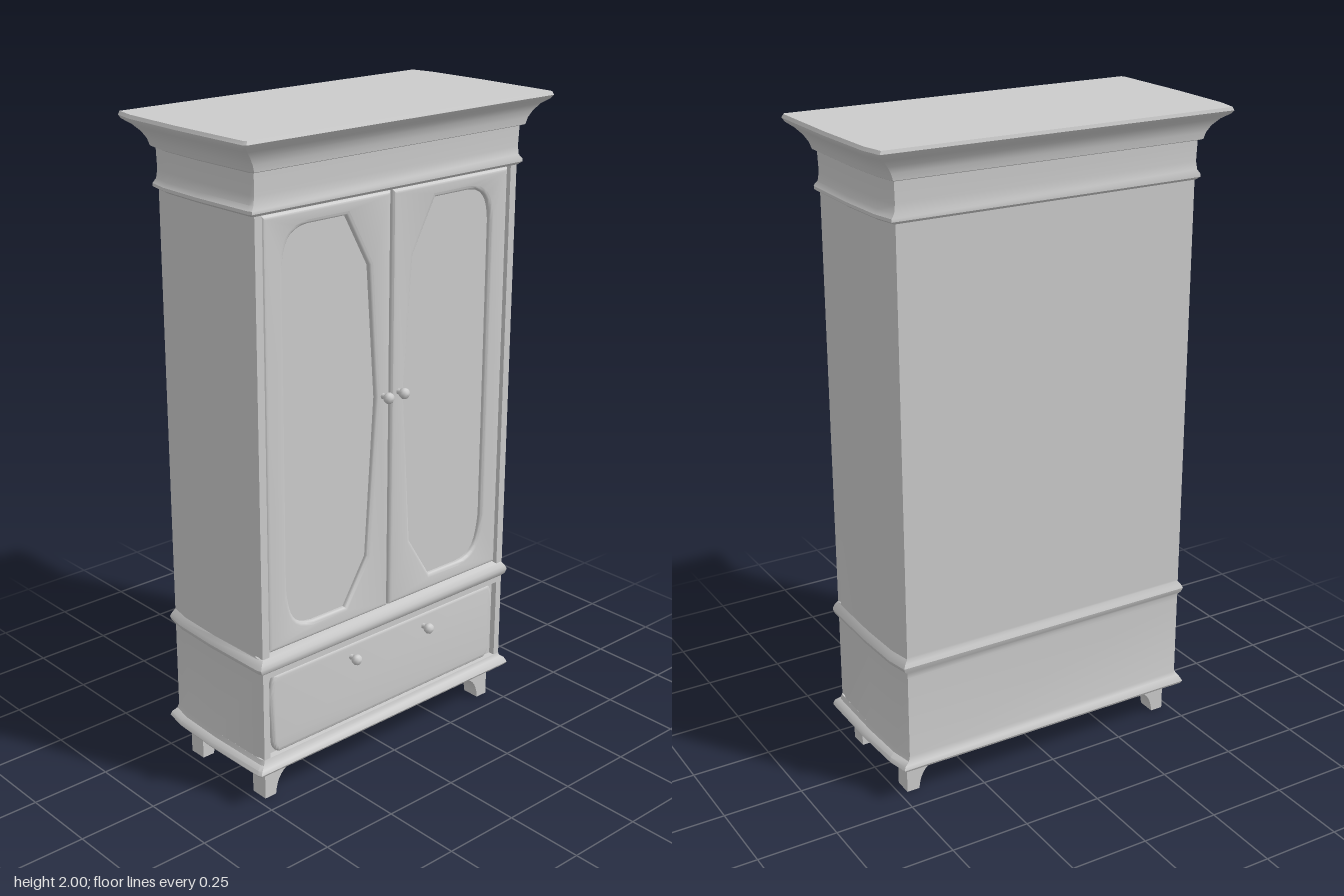
import * as THREE from 'three';
import { toCreasedNormals } from 'three/addons/utils/BufferGeometryUtils.js';

const material = new THREE.MeshStandardMaterial({ color: 0xcccccc });

function add(parent, name, geometry, x = 0, y = 0, z = 0) {
  const mesh = new THREE.Mesh(geometry, material);
  mesh.name = name;
  mesh.position.set(x, y, z);
  parent.add(mesh);
  return mesh;
}

// Stack of horizontal sections: [y, half width, front z, back z]
function loft(levels) {
  const pos = [], index = [];
  for (const [y, w, f, b] of levels) {
    const half = [[w - 0.006, f], [w - 0.001, f - 0.012], [w + 0.002, 0], [w - 0.004, b + 0.07], [w - 0.018, b]];
    const ring = [...half, ...half.map(([x, z]) => [-x, z]).reverse()];
    for (const [x, z] of ring) pos.push(x, y, z);
  }
  const n = 10, last = (levels.length - 1) * n;
  for (let j = 0; j < last; j += n) {
    for (let i = 0; i < n; i++) {
      const a = j + i, b = j + (i + 1) % n;
      index.push(a, b, b + n, a, b + n, a + n);
    }
  }
  // bottom and top caps
  for (let i = 1; i < n - 1; i++) index.push(0, i + 1, i, last, last + i, last + i + 1);
  const g = new THREE.BufferGeometry();
  g.setAttribute('position', new THREE.Float32BufferAttribute(pos, 3));
  g.setIndex(index);
  return toCreasedNormals(g, 0.6);
}

const outline = (pts) => new THREE.Shape(pts.map(([x, y]) => new THREE.Vector2(x, y)));

// Front panel with softly rounded edges
function softPanel(shape) {
  return toCreasedNormals(new THREE.ExtrudeGeometry(shape, {
    depth: 0.006, bevelThickness: 0.009, bevelSize: 0.012, bevelOffset: -0.012, bevelSegments: 3, curveSegments: 6,
  }), 0.6);
}

export function createModel() {
  const wardrobe = new THREE.Group();
  wardrobe.name = 'wardrobe';

  // Carcass with recessed openings, base, waist and cornice mouldings
  add(wardrobe, 'carcass', loft([
    [0.11, 0.524, 0.232, -0.226], [0.118, 0.53, 0.237, -0.23], [0.13, 0.525, 0.233, -0.227],
    [0.14, 0.51, 0.223, -0.22], [0.155, 0.505, 0.22, -0.217],
    [0.155, 0.505, 0.2, -0.217], [0.42, 0.505, 0.2, -0.217],
    [0.42, 0.505, 0.22, -0.217], [0.438, 0.505, 0.22, -0.217],
    [0.446, 0.515, 0.227, -0.222], [0.46, 0.52, 0.23, -0.226], [0.472, 0.515, 0.227, -0.222],
    [0.485, 0.505, 0.22, -0.217],
    [0.49, 0.505, 0.2, -0.217], [1.785, 0.505, 0.2, -0.217],
    [1.785, 0.508, 0.222, -0.217], [1.793, 0.52, 0.229, -0.225], [1.802, 0.52, 0.229, -0.225],
    [1.815, 0.51, 0.223, -0.221], [1.84, 0.506, 0.222, -0.219], [1.9, 0.508, 0.224, -0.22],
    [1.905, 0.517, 0.238, -0.234], [1.925, 0.524, 0.241, -0.237], [1.945, 0.537, 0.248, -0.244],
    [1.965, 0.556, 0.261, -0.26], [1.98, 0.576, 0.281, -0.281], [1.99, 0.581, 0.289, -0.289],
    [2.0, 0.576, 0.285, -0.287],
  ]));

  // Shaped opening of the left door
  const opening = new THREE.Path();
  opening.moveTo(0.17, 1.735);
  opening.lineTo(0.31, 1.735);
  opening.bezierCurveTo(0.375, 1.73, 0.395, 1.7, 0.4, 1.63);
  opening.lineTo(0.4, 0.68);
  opening.bezierCurveTo(0.39, 0.59, 0.375, 0.55, 0.3, 0.545);
  opening.lineTo(0.175, 0.545);
  opening.lineTo(0.088, 0.685);
  opening.lineTo(0.055, 1.18);
  opening.lineTo(0.085, 1.58);

  const knob = new THREE.LatheGeometry(
    [[0.009, 0], [0.007, 0.014], [0.014, 0.018], [0.017, 0.027], [0.015, 0.035], [0.008, 0.041], [0, 0.042]]
      .map(([r, y]) => new THREE.Vector2(r, y)), 16);
  knob.rotateX(Math.PI / 2);

  // Bracket foot profile
  const foot = new THREE.Shape();
  foot.moveTo(0.475, 0);
  foot.lineTo(0.475, 0.115);
  foot.lineTo(0.33, 0.115);
  foot.lineTo(0.33, 0.092);
  foot.bezierCurveTo(0.39, 0.088, 0.428, 0.07, 0.434, 0);

  for (const side of [1, -1]) {
    const prefix = side > 0 ? 'left' : 'right';

    // Doors, mirrored by their outlines
    const flip = (pts) => pts.map((p) => [p[0] * side, p[1]]);
    const door = outline(flip([[0.004, 0.495], [0.47, 0.495], [0.47, 1.78], [0.004, 1.78]]));
    door.holes.push(outline(flip(opening.getPoints(8).map((p) => [p.x, p.y]))));
    add(wardrobe, prefix + 'Door', softPanel(door), 0, 0, 0.2);

    // Front stiles beside the doors and the drawer
    add(wardrobe, prefix + 'DoorStile', new THREE.BoxGeometry(0.025, 1.3, 0.04), side * 0.487, 1.1375, 0.2);
    add(wardrobe, prefix + 'DrawerStile', new THREE.BoxGeometry(0.022, 0.27, 0.04), side * 0.488, 0.2875, 0.2);

    // Knobs
    add(wardrobe, prefix + 'DoorKnob', knob, side * 0.031, 1.18, 0.213);
    add(wardrobe, prefix + 'DrawerKnob', knob, side * 0.152, 0.372, 0.213);

    // Feet
    for (const [place, z] of [['Front', 0.133], ['Back', -0.172]]) {
      const g = new THREE.ExtrudeGeometry(foot, { depth: 0.058, bevelEnabled: false, curveSegments: 10 });
      if (side < 0) g.rotateY(Math.PI).translate(0, 0, 0.058);
      add(wardrobe, prefix + place + 'Foot', toCreasedNormals(g, 0.6), 0, 0, z);
    }
  }

  // Drawer front with clipped, bowed ends
  const drawer = new THREE.Shape();
  drawer.moveTo(-0.435, 0.157);
  drawer.lineTo(0.435, 0.157);
  drawer.quadraticCurveTo(0.458, 0.165, 0.46, 0.2);
  drawer.lineTo(0.468, 0.35);
  drawer.quadraticCurveTo(0.462, 0.41, 0.445, 0.418);
  drawer.lineTo(-0.445, 0.418);
  drawer.quadraticCurveTo(-0.462, 0.41, -0.468, 0.35);
  drawer.lineTo(-0.46, 0.2);
  drawer.quadraticCurveTo(-0.458, 0.165, -0.435, 0.157);
  add(wardrobe, 'drawerFront', softPanel(drawer), 0, 0, 0.2);

  return wardrobe;
}
